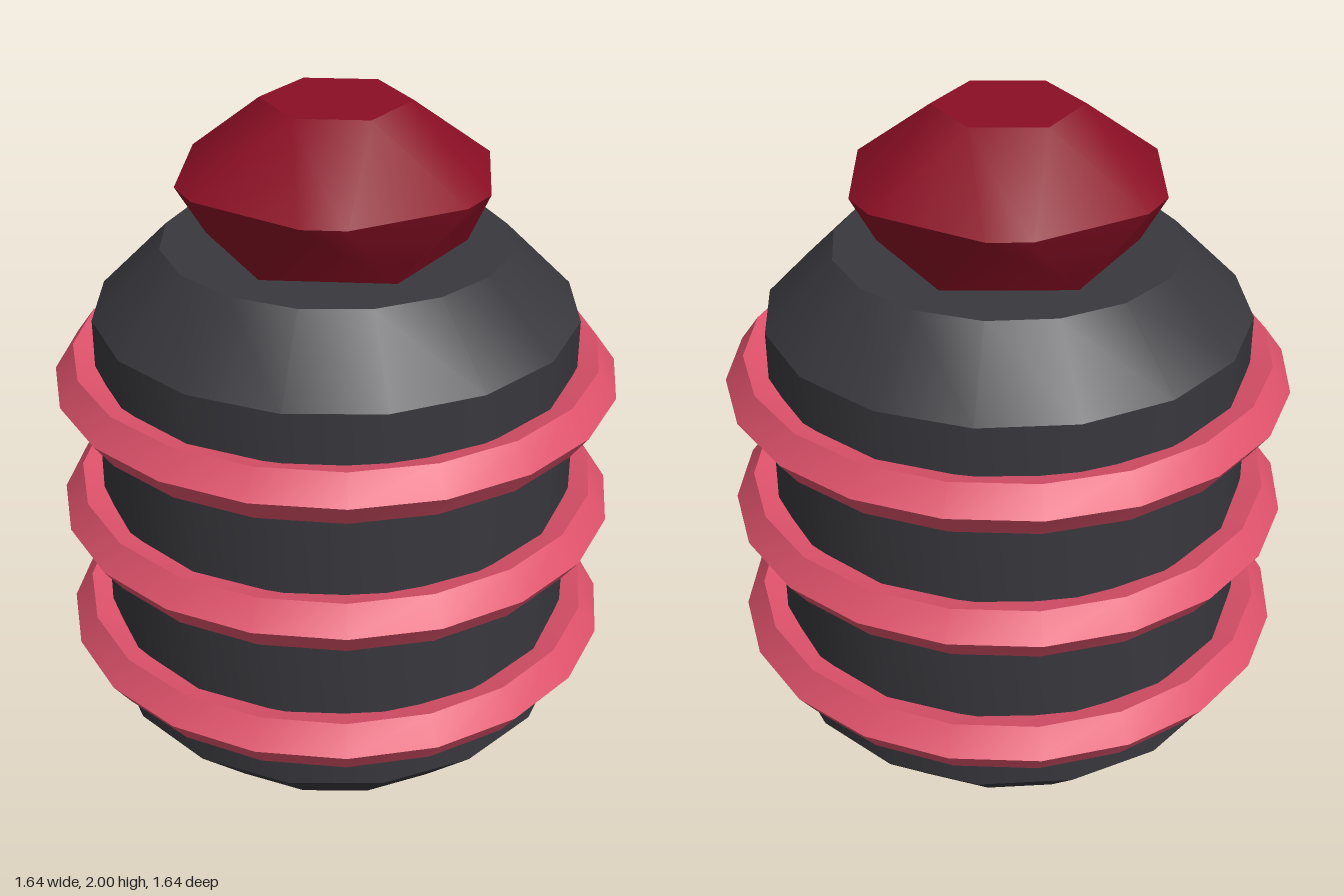
import * as THREE from 'three';
import { toCreasedNormals } from 'three/addons/utils/BufferGeometryUtils.js';
import { ConvexGeometry } from 'three/addons/geometries/ConvexGeometry.js';

const CREASE = 0.6;

function material(name, color) {
  const m = new THREE.MeshStandardMaterial({ color });
  m.name = name;
  return m;
}

// Points on a circle at height y, at the given angles in degrees
function circle(radius, y, angles) {
  return angles.map((deg) => {
    const a = THREE.MathUtils.degToRad(deg);
    return new THREE.Vector3(radius * Math.cos(a), y, radius * Math.sin(a));
  });
}

export function createModel() {
  const group = new THREE.Group();
  const charcoal = material('charcoal', 0x38383d);
  const rose = material('rose', 0xdf526b);
  const crimson = material('crimson', 0x8a0e24);

  const add = (name, geometry, mat) => {
    const mesh = new THREE.Mesh(toCreasedNormals(geometry, CREASE), mat);
    mesh.name = name;
    group.add(mesh);
    return mesh;
  };

  // Sixteen-sided barrel with chamfered ends
  const profile = [[0, 0], [0.5, 0], [0.7, 0.2], [0.7, 1.4], [0.5, 1.6], [0, 1.6]]
    .map(([r, y]) => new THREE.Vector2(r, y));
  add('body', new THREE.LatheGeometry(profile, 16), charcoal);

  // Three low-poly bands around the barrel
  [0.4, 0.8, 1.2].forEach((y, i) => {
    const ring = new THREE.TorusGeometry(0.74, 0.08, 5, 20).rotateX(Math.PI / 2);
    add(`ring${i + 1}`, ring, rose).position.y = y;
  });

  // Faceted gem: hexagonal table and base, girdle of six paired corners
  const hexagon = [30, 90, 150, 210, 270, 330];
  const girdle = [0, 60, 120, 180, 240, 300].flatMap((a) => [a - 7.6, a + 7.6]);
  add('gem', new ConvexGeometry([
    ...circle(0.37, 1.6, hexagon),
    ...circle(0.46, 1.8, girdle),
    ...circle(0.21, 2, hexagon),
  ]), crimson);

  return group;
}
